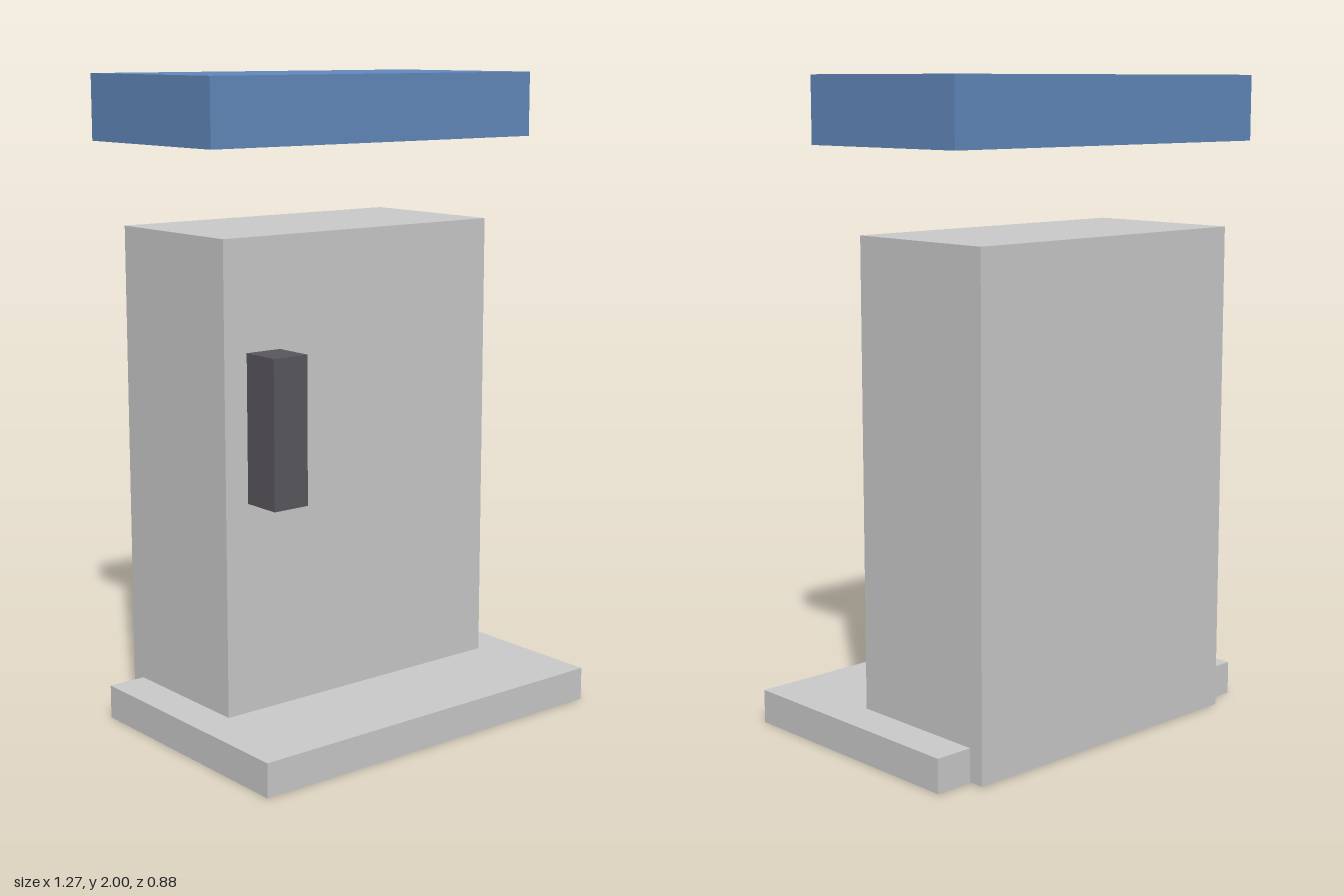
import * as THREE from 'three';

const grey = new THREE.MeshStandardMaterial({ color: 0xcccccc });
const blue = new THREE.MeshStandardMaterial({ color: 0x6289bc });
const charcoal = new THREE.MeshStandardMaterial({ color: 0x5a585e });

// Box spanning the given [min, max] range on each axis
function slab(name, [x0, x1], [y0, y1], [z0, z1], material) {
  const mesh = new THREE.Mesh(new THREE.BoxGeometry(x1 - x0, y1 - y0, z1 - z0), material);
  mesh.position.set((x0 + x1) / 2, (y0 + y1) / 2, (z0 + z1) / 2);
  mesh.name = name;
  return mesh;
}

export function createModel() {
  const model = new THREE.Group();
  model.name = 'kiosk';
  model.add(
    // Low plinth, reaching forward of the cabinet
    slab('base', [-0.634, 0.634], [0, 0.105], [-0.38, 0.44], grey),
    // Upright cabinet, passing down through the rear of the plinth
    slab('cabinet', [-0.512, 0.512], [0.003, 1.54], [-0.43, 0.085], grey),
    // Block mounted on the cabinet front
    slab('handset', [-0.432, -0.31], [0.752, 1.203], [0.085, 0.215], charcoal),
    // Canopy floating above the cabinet
    slab('canopy', [-0.613, 0.613], [1.8, 2], [-0.44, 0.175], blue),
  );
  return model;
}
